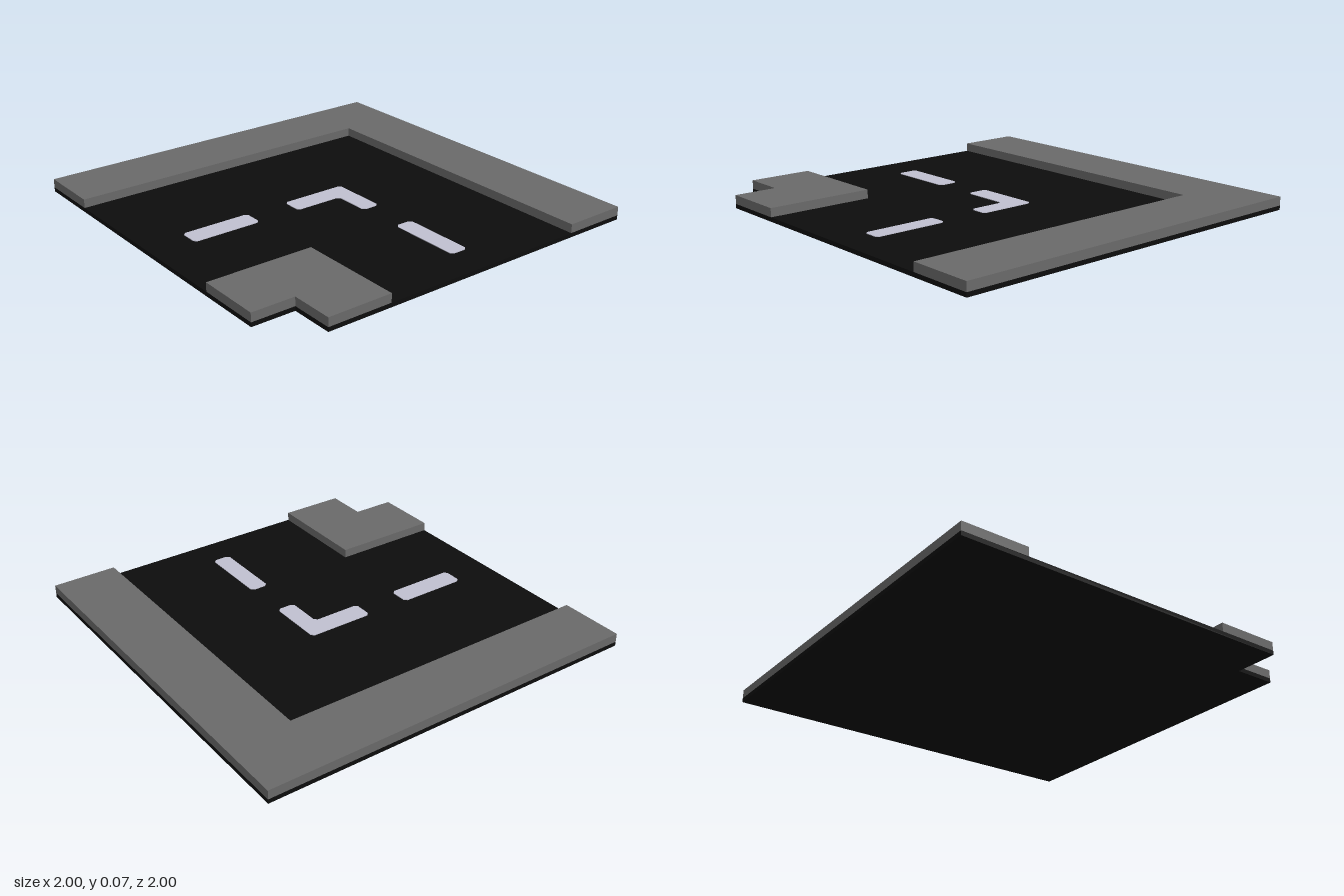
import * as THREE from 'three';

const ROAD_TOP = 0.022;
const KERB_TOP = 0.067;

// Extrudes a plan outline of [x, z] points upward, optionally clipping its corners.
function slab(name, outline, bottom, top, material, clip = 0) {
  const points = [];
  const n = outline.length;
  outline.forEach(([x, z], i) => {
    const p = new THREE.Vector2(x, -z);
    if (!clip) return points.push(p);
    for (const j of [(i + n - 1) % n, (i + 1) % n]) {
      const toward = new THREE.Vector2(outline[j][0], -outline[j][1]).sub(p).setLength(clip);
      points.push(toward.add(p));
    }
  });
  const geometry = new THREE.ExtrudeGeometry(new THREE.Shape(points), {
    depth: top - bottom, bevelEnabled: false,
  });
  geometry.rotateX(-Math.PI / 2).translate(0, bottom, 0);
  const mesh = new THREE.Mesh(geometry, material);
  mesh.name = name;
  return mesh;
}

const rect = (x0, x1, z0, z1) => [[x0, z0], [x1, z0], [x1, z1], [x0, z1]];

export function createModel() {
  const asphalt = new THREE.MeshStandardMaterial({ name: 'asphalt', color: 0x0d0d0d });
  const concrete = new THREE.MeshStandardMaterial({ name: 'concrete', color: 0x696969 });
  const paint = new THREE.MeshStandardMaterial({ name: 'line paint', color: 0xc0c0d0 });

  const group = new THREE.Group();
  group.name = 'roadCorner';

  // Road base with a notch at the inner corner
  group.add(slab('roadBase',
    [[-1, -1], [1, -1], [1, 0.778], [0.778, 0.778], [0.778, 1], [-1, 1]],
    0, ROAD_TOP, asphalt));

  // Raised pavements on the outside and inside of the bend
  group.add(slab('outerPavement',
    [[-1, -1], [1, -1], [1, -0.667], [-0.667, -0.667], [-0.667, 1], [-1, 1]],
    ROAD_TOP, KERB_TOP, concrete));
  group.add(slab('innerPavement',
    [[0.444, 0.444], [1, 0.444], [1, 0.778], [0.778, 0.778], [0.778, 1], [0.444, 1]],
    ROAD_TOP, KERB_TOP, concrete));

  // Painted centre line: a bent corner mark and a dash on each arm
  const markings = {
    cornerMarking: [[-0.11, -0.163], [0.195, -0.163], [0.195, -0.068],
      [0, -0.068], [0, 0.187], [-0.11, 0.187]],
    sideDash: rect(0.435, 0.822, -0.163, -0.068),
    frontDash: rect(-0.11, 0, 0.415, 0.78),
  };
  for (const [name, outline] of Object.entries(markings)) {
    group.add(slab(name, outline, ROAD_TOP, ROAD_TOP + 0.003, paint, 0.015));
  }
  return group;
}
